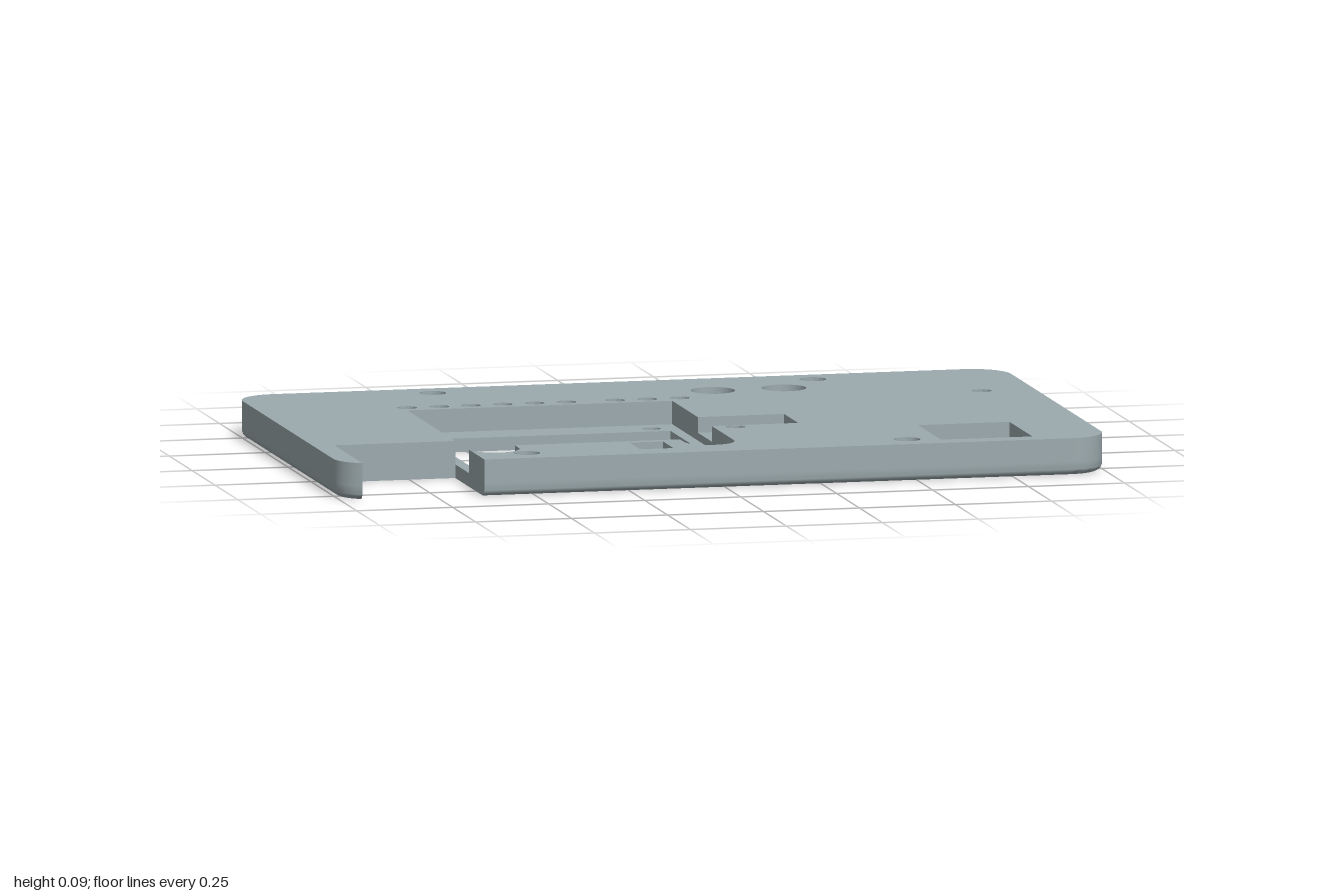
import * as THREE from 'three';
import { toCreasedNormals } from 'three/addons/utils/BufferGeometryUtils.js';

// Heights of the plate's levels
const TOP = 0.095, POCKET = 0.055, FLOOR = 0.035, LEDGE = 0.015, SEAT = 0.02, GROOVE = 0.01;
const HALF_Z = 0.593, CORNER = 0.1, FILLET = 0.02;
const NOTCH_L = -0.945, NOTCH_R = -0.63, NOTCH_Z = 0.275;

// Plan points are stored as (x, -z), so loops run anticlockwise seen from above
const pt = (x, z) => new THREE.Vector2(x, -z);

function arc(x, z, r, from, to, n) {
  return Array.from({ length: n + 1 }, (_, i) => {
    const a = from + (to - from) * i / n;
    return pt(x + r * Math.cos(a), z - r * Math.sin(a));
  });
}
const circle = (x, z, r) => arc(x, z, r, 0, Math.PI * 2, 32).slice(0, -1);
const rect = (x0, x1, z0, z1) => [pt(x0, z1), pt(x1, z1), pt(x1, z0), pt(x0, z0)];

// Outer edge with the front notch, inset by d
function outline(d) {
  const r = CORNER - d, cx = 1 - CORNER, cz = HALF_Z - CORNER, q = Math.PI / 2;
  const cut = Math.PI * 2 - Math.acos((NOTCH_L + cx) / r);
  return [
    pt(NOTCH_R, HALF_Z - d),
    ...arc(cx, cz, r, -q, 0, 12),
    ...arc(cx, -cz, r, 0, q, 12),
    ...arc(-cx, -cz, r, q, 2 * q, 12),
    ...arc(-cx, cz, r, 2 * q, cut, 8),
    pt(NOTCH_L, NOTCH_Z),
    pt(NOTCH_R, NOTCH_Z),
  ];
}

// Display recess: rectangle with two round-ended ears, optionally with the side pocket
function recessEdge(withPocket) {
  const pocket = withPocket ? [pt(0.06, 0.03), pt(0.285, 0.03), pt(0.285, 0.183), pt(0.06, 0.183)] : [];
  return [
    pt(NOTCH_R, -0.25), pt(0.06, -0.25), ...pocket,
    ...arc(-0.005, 0.425, 0.065, 0, -Math.PI, 16),
    pt(-0.07, 0.38), pt(-0.5, 0.38),
    ...arc(-0.565, 0.425, 0.065, 0, -Math.PI, 16),
  ];
}

// Flat face at height y, facing up or down
function cap(loop, holes, y, down = false) {
  const shape = new THREE.Shape(loop);
  shape.holes = holes.map((h) => new THREE.Path(h));
  const g = new THREE.ShapeGeometry(shape).toNonIndexed().rotateX(-Math.PI / 2).translate(0, y, 0);
  const out = [], p = g.attributes.position;
  for (let i = 0; i < p.count; i += 3) {
    for (const k of down ? [0, 2, 1] : [0, 1, 2]) out.push(p.getX(i + k), p.getY(i + k), p.getZ(i + k));
  }
  return out;
}

// Skin between stacked loops given as { loop, y }
function loft(rows) {
  const out = [];
  for (let r = 0; r + 1 < rows.length; r++) {
    const a = rows[r], b = rows[r + 1], n = a.loop.length;
    for (let i = 0; i < n; i++) {
      const j = (i + 1) % n;
      const v = (row, k) => [row.loop[k].x, row.y, -row.loop[k].y];
      out.push(...v(a, i), ...v(a, j), ...v(b, j), ...v(a, i), ...v(b, j), ...v(b, i));
    }
  }
  return out;
}

// Straight wall; holes face inward, solids outward
function wall(loop, y0, y1, hole = true) {
  const ccw = THREE.ShapeUtils.area(loop) > 0;
  const l = ccw === hole ? [...loop].reverse() : loop;
  return loft([{ loop: l, y: y0 }, { loop: l, y: y1 }]);
}

export function createModel() {
  const group = new THREE.Group();
  const grey = new THREE.MeshStandardMaterial({ color: 0x9dabae });
  grey.name = 'blue grey plastic';

  function add(name, ...pieces) {
    const g = new THREE.BufferGeometry();
    g.setAttribute('position', new THREE.Float32BufferAttribute(pieces.flat(), 3));
    const mesh = new THREE.Mesh(toCreasedNormals(g, 0.6), grey);
    mesh.name = name;
    group.add(mesh);
  }

  // Holes that run straight through the full thickness
  const through = [
    ...[[-0.5, -0.518], [0.49, -0.518], [-0.5, 0.512], [0.49, 0.512]].map(([x, z]) => circle(x, z, 0.034)),
    circle(0.2, -0.394, 0.057), circle(0.385, -0.394, 0.057),
    rect(0.572, 0.81, 0.29, 0.54),
    rect(-0.207, -0.12, 0.405, 0.518),
  ];
  // Stepped indicator and button holes
  const stepped = [
    ...[-0.62, -0.536, -0.454, -0.371, -0.288, -0.205, -0.078, 0.006, 0.09].map((x) => [x, -0.294]),
    [0.862, -0.233], [0.115, 0.209],
  ];
  const wide = stepped.map(([x, z]) => circle(x, z, 0.025));
  const narrow = stepped.map(([x, z]) => circle(x, z, 0.018));
  // Screw holes in the recess floor, one of them blind
  const screws = [[-0.565, -0.19], [-0.008, -0.19], [-0.008, 0.425]].map(([x, z]) => circle(x, z, 0.023));
  const blind = circle(-0.565, 0.425, 0.024);

  const windowLoop = rect(-0.6, 0.03, -0.143, 0.312);
  const ledge = rect(-0.55, -0.02, 0.312, 0.378);
  const windowAndLedge = [
    pt(-0.6, -0.143), pt(-0.6, 0.312), pt(-0.55, 0.312), pt(-0.55, 0.378),
    pt(-0.02, 0.378), pt(-0.02, 0.312), pt(0.03, 0.312), pt(0.03, -0.143),
  ];
  const grooveOuter = rect(0.115, 0.84, -0.168, 0.1);
  const grooveInner = rect(0.129, 0.826, -0.154, 0.086);

  // Outer shell with a rounded lower edge
  const rows = [];
  for (let i = 0; i <= 6; i++) {
    const a = (i / 6) * Math.PI / 2;
    rows.push({ loop: outline(FILLET * (1 - Math.sin(a))), y: FILLET * (1 - Math.cos(a)) });
  }
  rows.push({ loop: outline(0), y: FLOOR });
  const lower = [...outline(0), ...recessEdge(false)];
  const upper = [...outline(0), ...recessEdge(true)];
  add('outerShell', loft(rows));
  add('recessAndRimWalls', wall(lower, FLOOR, POCKET, false), wall(upper, POCKET, TOP, false));

  // Broad faces
  add('topFace', cap(upper, [...through, ...wide], TOP));
  add('bottomFace',
    cap(outline(FILLET), [...through, ...narrow, ...screws, windowLoop, grooveOuter], 0, true),
    cap(grooveInner, [], 0, true));

  // Display recess, connector ledge and side pocket
  add('recessFloor', cap(recessEdge(false), [windowAndLedge, ...screws, blind], FLOOR));
  add('displayWindow', wall(windowLoop, 0, LEDGE), wall(windowAndLedge, LEDGE, FLOOR));
  add('connectorLedge', cap(ledge, [], LEDGE));
  add('sidePocketFloor', cap(rect(0.06, 0.285, 0.03, 0.183), [], POCKET));
  add('blindScrewHole', wall(blind, LEDGE, FLOOR), cap(blind, [], LEDGE));

  // Hole linings
  through.forEach((h) => add('throughHole', wall(h, 0, TOP)));
  screws.forEach((h) => add('screwHole', wall(h, 0, FLOOR)));
  stepped.forEach((_, i) => add('steppedHole',
    wall(narrow[i], 0, SEAT), cap(wide[i], [narrow[i]], SEAT), wall(wide[i], SEAT, TOP)));

  // Rectangular groove underneath
  add('undersideGroove',
    wall(grooveOuter, 0, GROOVE), wall(grooveInner, 0, GROOVE, false),
    cap(grooveOuter, [grooveInner], GROOVE, true));

  return group;
}
